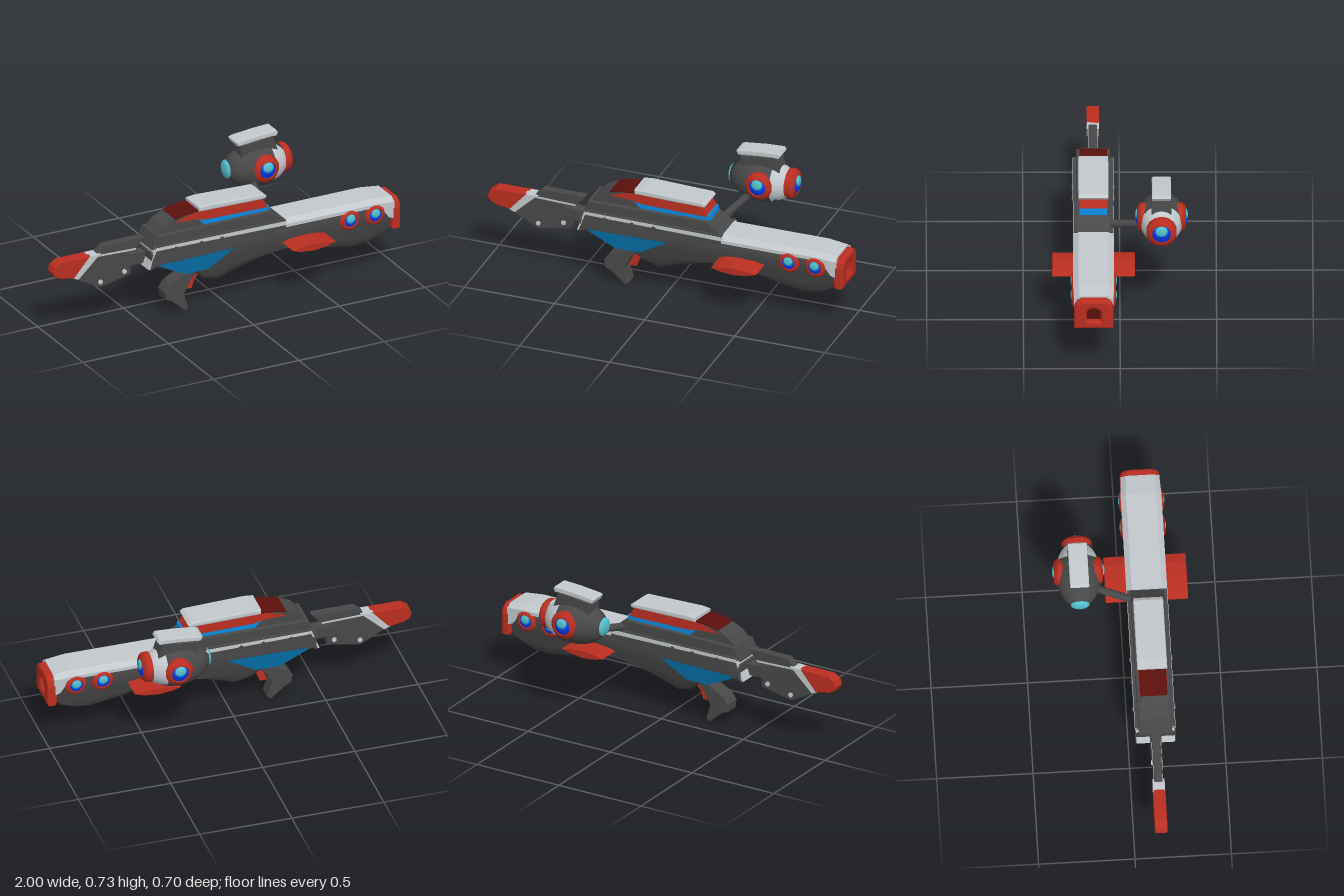
import * as THREE from 'three';
import { toCreasedNormals } from 'three/addons/utils/BufferGeometryUtils.js';

const mat = (name, color) => {
  const m = new THREE.MeshStandardMaterial({ color });
  m.name = name;
  return m;
};

export function createModel() {
  const dark = mat('dark grey', 0x484848), light = mat('light grey', 0xc2c8cc);
  const red = mat('red', 0xba2e21), maroon = mat('maroon', 0x5c100c);
  const blue = mat('blue', 0x0c8ae0), panelBlue = mat('panel blue', 0x04699f);
  const deepBlue = mat('deep blue', 0x0838ee), cyan = mat('cyan', 0x55c4d0);

  const model = new THREE.Group();
  model.name = 'blaster';
  const gun = new THREE.Group();
  gun.name = 'gun';
  gun.position.z = 0.137;
  model.add(gun);

  const add = (parent, name, geo, material, x = 0, y = 0, z = 0) => {
    const m = new THREE.Mesh(geo, material);
    m.name = name;
    m.position.set(x, y, z);
    parent.add(m);
    return m;
  };
  const outline = (pts) => new THREE.Shape(pts.map((p) => new THREE.Vector2(p[0], p[1])));

  // Side profile extruded symmetrically across the width
  const slab = (name, pts, material, half, bevel = 0, parent = gun) => {
    const geo = new THREE.ExtrudeGeometry(outline(pts), {
      depth: 2 * (half - bevel), bevelEnabled: bevel > 0, bevelThickness: bevel,
      bevelSize: bevel, bevelOffset: -bevel, bevelSegments: 2, curveSegments: 10,
    });
    geo.translate(0, 0, bevel - half);
    return add(parent, name, geo, material);
  };

  // Shallow dome facing local +z
  const dome = (parent, name, s, y, z, material) => {
    const geo = new THREE.SphereGeometry(s, 18, 6, 0, Math.PI * 2, 0, Math.PI / 2);
    geo.rotateX(Math.PI / 2);
    geo.scale(1, 1, 0.38);
    add(parent, name, geo, material, 0, y, z);
  };

  // Ringed lamp with a lens that brightens towards its top, facing local +z
  const lamp = (parent, name, r, x, y, z, turn, depth = 1) => {
    const g = new THREE.Group();
    g.name = name;
    g.position.set(x, y, z);
    g.rotation.y = turn;
    g.scale.z = depth;
    const profile = [[r, -0.03], [r, 0], [r * 0.82, 0.016], [r * 0.64, 0.021], [r * 0.56, 0.01]]
      .map((p) => new THREE.Vector2(p[0], p[1]));
    const ring = new THREE.LatheGeometry(profile, 14);
    ring.rotateX(Math.PI / 2);
    add(g, 'lampRing', toCreasedNormals(ring, 0.6), red);
    dome(g, 'lens', r * 0.62, 0, 0.011, deepBlue);
    dome(g, 'lensGlow', r * 0.53, r * 0.08, 0.0145, blue);
    dome(g, 'lensHighlight', r * 0.42, r * 0.18, 0.019, cyan);
    parent.add(g);
  };

  // Lower body lofted along x: [x, bottom height]
  const keel = [[-0.46, 0.32], [-0.3, 0.27], [-0.2, 0.235], [-0.13, 0.168], [-0.04, 0.142], [0.01, 0.163],
    [0.1, 0.195], [0.2, 0.222], [0.33, 0.243], [0.46, 0.23], [0.6, 0.186], [0.75, 0.158], [0.84, 0.167],
    [0.91, 0.2], [0.96, 0.25]];
  const pos = [], idx = [];
  const width = (y) => Math.min(0.1, 0.1 - (0.33 - y) * 0.3);
  keel.forEach(([x, b]) => {
    const side = [[0.09, 0.398], [0.1, 0.385], [0.1, 0.335]];
    [0.65, 0.35, 0.1].forEach((t) => { const y = b + (0.33 - b) * t; side.push([width(y), y]); });
    side.push([width(b) * 0.75, b]);
    const ring = [...side, ...side.slice().reverse().map(([w, y]) => [-w, y])];
    ring.forEach(([z, y]) => pos.push(x, y, z));
  });
  const n = 14;
  for (let i = 0; i < keel.length - 1; i++) {
    for (let j = 0; j < n; j++) {
      const a = i * n + j, b = i * n + (j + 1) % n;
      idx.push(a, b, a + n, b, b + n, a + n);
    }
  }
  const last = (keel.length - 1) * n;
  for (let j = 1; j < n - 1; j++) idx.push(0, j + 1, j, last, last + j, last + j + 1);
  const hull = new THREE.BufferGeometry();
  hull.setAttribute('position', new THREE.Float32BufferAttribute(pos, 3));
  hull.setIndex(idx);
  add(gun, 'lowerBody', toCreasedNormals(hull, 0.7), dark);

  // Side band, light trim, dark deck and blue panels
  slab('sideBand', [[-0.47, 0.305], [-0.42, 0.325], [0.02, 0.33], [0.25, 0.375], [0.63, 0.383], [0.63, 0.395],
    [-0.43, 0.41]], dark, 0.105, 0.004);
  slab('railTrim', [[-0.44, 0.41], [0.33, 0.398], [0.33, 0.42], [-0.435, 0.426]], light, 0.106);
  slab('deck', [[-0.44, 0.42], [-0.43, 0.431], [0.325, 0.427], [0.325, 0.415]], dark, 0.1035);
  slab('rearTrim', [[-0.478, 0.31], [-0.468, 0.31], [-0.425, 0.425], [-0.435, 0.425]], light, 0.1);
  slab('bluePanel', [[-0.42, 0.33], [-0.4, 0.31], [-0.26, 0.243], [-0.13, 0.245], [0.03, 0.334]],
    [panelBlue, deepBlue], 0.104);
  for (const s of [-1, 1]) {
    for (const x of [-0.32, -0.17, -0.05]) {
      const rivet = new THREE.CylinderGeometry(0.011, 0.011, 0.016, 10);
      rivet.rotateX(Math.PI / 2);
      add(gun, 'rivet', rivet, dark, x, 0.403, s * 0.105);
    }
    for (const x of [0.7, 0.845]) lamp(gun, 'sideLamp', 0.058, x, 0.345, s * 0.101, s > 0 ? 0 : Math.PI, 0.7);
  }

  // Upper housing, canopy and top plate
  slab('upperHousing', [[-0.45, 0.41], [-0.42, 0.485], [0.24, 0.487], [0.33, 0.42]], dark, 0.088, 0.006);
  slab('rearHump', [[-0.41, 0.48], [-0.37, 0.52], [-0.31, 0.55], [-0.24, 0.564], [-0.18, 0.564], [-0.22, 0.53],
    [-0.17, 0.515], [-0.14, 0.48]], dark, 0.071);
  slab('blueStripe', [[-0.17, 0.52], [-0.13, 0.482], [0.248, 0.478], [0.243, 0.511]], blue, 0.0715);
  slab('redCanopy', [[-0.31, 0.53], [-0.23, 0.558], [-0.15, 0.57], [0.2, 0.57], [0.235, 0.506], [-0.13, 0.513],
    [-0.18, 0.525]], red, 0.0725);
  slab('canopyHatch', [[-0.308, 0.548], [-0.306, 0.554], [-0.238, 0.57], [-0.165, 0.574], [-0.165, 0.566],
    [-0.238, 0.562]], maroon, 0.0715);
  slab('topPlate', [[-0.17, 0.565], [-0.17, 0.59], [-0.12, 0.595], [0.21, 0.584], [0.228, 0.572], [0.22, 0.558]],
    light, 0.078, 0.007);

  // Light barrel cover, chamfered along both edges and drooping at the nose
  const cover = new THREE.ExtrudeGeometry(outline([[-0.106, 0.385], [0.106, 0.385], [0.106, 0.403], [0.078, 0.426],
    [-0.078, 0.426], [-0.106, 0.403]]), { depth: 0.635, steps: 6, bevelEnabled: false });
  cover.rotateY(Math.PI / 2);
  const cp = cover.attributes.position;
  for (let i = 0; i < cp.count; i++) {
    if (cp.getX(i) > 0.6) {
      cp.setY(i, cp.getY(i) - 0.012);
      cp.setZ(i, cp.getZ(i) * 0.95);
    }
  }
  cover.computeVertexNormals();
  add(gun, 'barrelCover', cover, light, 0.325);
  slab('noseTrim', [[0.87, 0.39], [0.93, 0.31], [0.962, 0.3], [0.962, 0.395]], light, 0.1015);

  // Red muzzle with an arched opening
  const mouth = outline([[-0.103, 0.24], [0.103, 0.24], [0.103, 0.355], [0.092, 0.385], [0.065, 0.406],
    [-0.065, 0.406], [-0.092, 0.385], [-0.103, 0.355]]);
  const hole = new THREE.Path();
  hole.moveTo(-0.036, 0.282);
  hole.lineTo(-0.036, 0.328);
  hole.absellipse(0, 0.328, 0.036, 0.03, Math.PI, 0, true);
  hole.lineTo(0.036, 0.282);
  hole.closePath();
  mouth.holes.push(hole);
  const muzzle = new THREE.ExtrudeGeometry(mouth, { depth: 0.025, bevelEnabled: true, bevelThickness: 0.015,
    bevelSize: 0.014, bevelOffset: -0.014, bevelSegments: 2, curveSegments: 10 });
  muzzle.rotateY(Math.PI / 2);
  add(gun, 'muzzle', muzzle, red, 0.96);
  add(gun, 'boreBack', new THREE.BoxGeometry(0.008, 0.13, 0.11), maroon, 0.962, 0.322);

  // Side fins: one lens-shaped blade through the body
  slab('sideFins', [[0.31, 0.295], [0.35, 0.281], [0.43, 0.272], [0.51, 0.281], [0.56, 0.298], [0.51, 0.311],
    [0.42, 0.316], [0.35, 0.309]], red, 0.214, 0.004);

  // Grip and trigger
  slab('grip', [[-0.17, 0.25], [-0.32, 0.17], [-0.35, 0.13], [-0.345, 0.085], [-0.31, 0.07], [-0.232, 0.003],
    [-0.213, 0.02], [-0.238, 0.1], [-0.2, 0.17], [-0.12, 0.25]], dark, 0.043, 0.006);
  slab('trigger', [[-0.21, 0.22], [-0.2, 0.17], [-0.222, 0.112], [-0.18, 0.112], [-0.165, 0.155], [-0.13, 0.2],
    [-0.13, 0.22]], red, 0.015);

  // Tail stock
  slab('tailTip', [[-1, 0.375], [-0.99, 0.405], [-0.955, 0.428], [-0.78, 0.428], [-0.875, 0.318], [-0.955, 0.332],
    [-0.99, 0.35]], red, 0.033, 0.006);
  slab('tailBand', [[-0.79, 0.428], [-0.72, 0.428], [-0.85, 0.305], [-0.885, 0.32]], light, 0.032, 0.004);
  slab('stock', [[-0.74, 0.41], [-0.54, 0.4], [-0.54, 0.27], [-0.72, 0.232], [-0.86, 0.305]], dark, 0.024, 0.004);
  slab('stockTop', [[-0.7, 0.466], [-0.46, 0.466], [-0.51, 0.405], [-0.76, 0.405]], dark, 0.022, 0.004);
  slab('stockTrim', [[-0.74, 0.41], [-0.73, 0.419], [-0.51, 0.412], [-0.515, 0.403]], light, 0.0245);
  slab('stockJoint', [[-0.57, 0.395], [-0.42, 0.38], [-0.42, 0.32], [-0.57, 0.32]], dark, 0.03, 0.004);
  for (const [x, y] of [[-0.72, 0.265], [-0.58, 0.295], [-0.295, 0.118]]) {
    const onGrip = x > -0.4;
    const bolt = new THREE.CylinderGeometry(0.013, 0.013, onGrip ? 0.096 : 0.06, 10);
    bolt.rotateX(Math.PI / 2);
    add(gun, 'bolt', bolt, onGrip ? dark : light, x, y);
  }

  // Side-mounted scope pod, light at the front and dark behind and below
  const pod = new THREE.Group();
  pod.name = 'scopePod';
  pod.position.set(0.385, 0.548, -0.215);
  model.add(pod);
  const ball = new THREE.SphereGeometry(1, 20, 16);
  ball.rotateZ(-Math.PI / 2);
  ball.scale(0.178, 0.118, 0.118);
  const tri = ball.toNonIndexed();
  tri.clearGroups();
  const bp = tri.attributes.position;
  for (let i = 0; i < bp.count; i += 3) {
    const x = (bp.getX(i) + bp.getX(i + 1) + bp.getX(i + 2)) / 3;
    const y = (bp.getY(i) + bp.getY(i + 1) + bp.getY(i + 2)) / 3;
    tri.addGroup(i, 3, x > 0.06 && y > -0.075 ? 1 : 0);
  }
  add(pod, 'podShell', tri, [dark, light]);
  lamp(pod, 'frontLamp', 0.08, 0.17, 0.007, 0, Math.PI / 2);
  lamp(pod, 'leftLamp', 0.075, 0.01, 0.01, 0.106, 0);
  lamp(pod, 'rightLamp', 0.075, 0.01, 0.01, -0.106, Math.PI);
  const rear = new THREE.Group();
  rear.name = 'rearLens';
  rear.position.set(-0.17, 0.007, 0);
  rear.rotation.y = -Math.PI / 2;
  dome(rear, 'rearDome', 0.05, 0, 0, cyan);
  pod.add(rear);
  slab('podNeck', [[-0.11, 0.06], [-0.11, 0.145], [0.08, 0.165], [0.11, 0.07]], dark, 0.052, 0.006, pod);
  slab('podPlate', [[-0.125, 0.142], [-0.135, 0.165], [-0.12, 0.172], [0, 0.185], [0.1, 0.19], [0.11, 0.175],
    [0.1, 0.158], [0, 0.155]], light, 0.05, 0.006, pod);

  // Strut joining pod and body
  const from = new THREE.Vector3(0.26, 0.437, 0.08), to = new THREE.Vector3(0.335, 0.485, -0.15);
  const strut = new THREE.TubeGeometry(new THREE.LineCurve3(from, to), 1, 0.02, 12);
  add(model, 'strut', strut, dark);

  return model;
}
